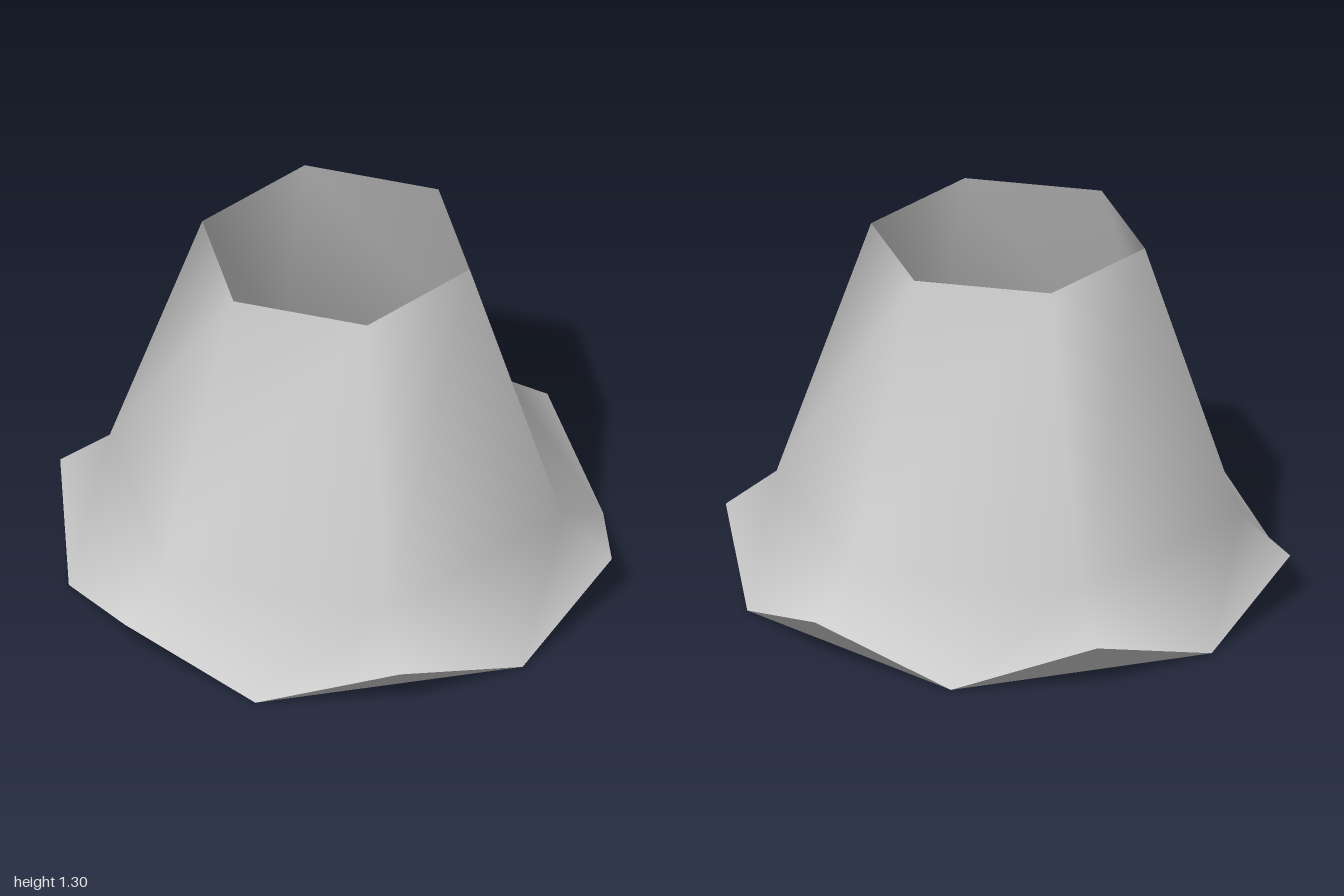
import * as THREE from 'three';

const SIDES = 6;

// Hexagonal ring of points; turn is a fraction of one side
function ring(radius, y, turn = 0) {
  return Array.from({ length: SIDES }, (_, k) => {
    const a = ((k + turn) / SIDES) * Math.PI * 2;
    return [Math.cos(a) * radius, y, Math.sin(a) * radius];
  });
}

function surface(rings, faces) {
  const geometry = new THREE.BufferGeometry();
  geometry.setAttribute('position', new THREE.Float32BufferAttribute(rings.flat(2), 3));
  geometry.setIndex(faces);
  return geometry;
}

export function createModel() {
  const group = new THREE.Group();
  const grey = new THREE.MeshStandardMaterial({ color: 0xcccccc, side: THREE.DoubleSide });
  grey.name = 'light grey';

  const add = (name, geometry) => {
    const mesh = new THREE.Mesh(geometry, grey);
    mesh.name = name;
    group.add(mesh);
  };

  const top = ring(0.485, 1.3);
  const waist = ring(0.82, 0.315);
  const tips = ring(1, 0.17);
  const base = ring(0.95, 0, 0.5);

  // Open tapered wall flowing smoothly into the flared skirt
  const skin = [];
  const underside = [];
  for (let k = 0; k < SIDES; k++) {
    const n = (k + 1) % SIDES;
    const p = (k + SIDES - 1) % SIDES;
    const U = 0, W = SIDES, M = SIDES * 2, B = SIDES * 3;
    skin.push(W + k, U + k, W + n, U + k, U + n, W + n);
    skin.push(B + k, W + k, W + n);
    skin.push(M + k, W + k, B + k, M + k, B + p, W + k);
    // Undercut triangle below each raised tip
    underside.push(SIDES + p, k, SIDES + k);
  }
  const wall = surface([top, waist, tips, base], skin);
  wall.computeVertexNormals();
  add('wallAndSkirt', wall);

  const undercuts = surface([tips, base], underside).toNonIndexed();
  undercuts.computeVertexNormals();
  add('skirtUndercuts', undercuts);

  // Flat floor closing the bottom
  add('floor', new THREE.CircleGeometry(0.95, SIDES, Math.PI / SIDES).rotateX(Math.PI / 2));

  return group;
}
